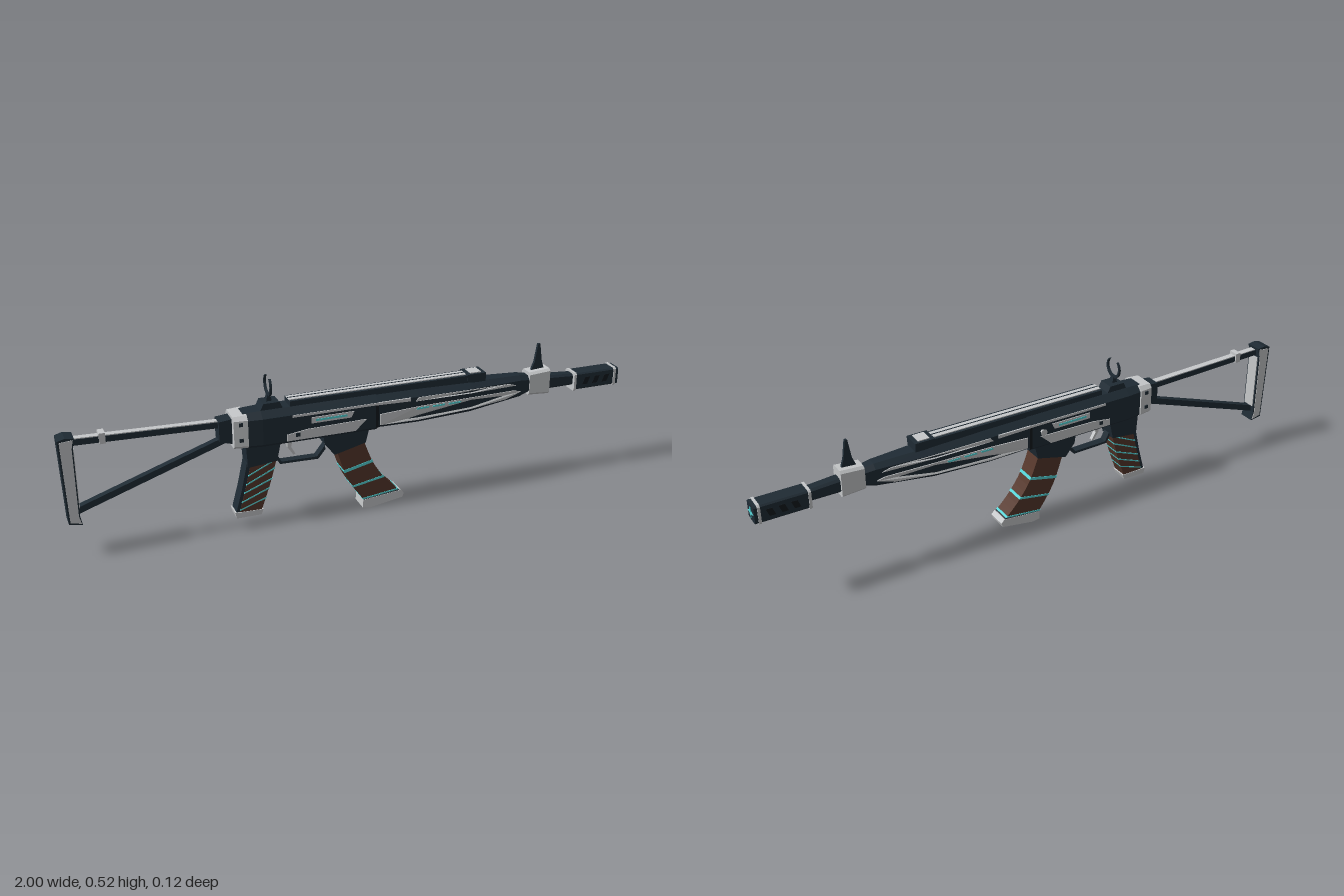
import * as THREE from 'three';

const mat = (name, color) => {
  const m = new THREE.MeshStandardMaterial({ color });
  m.name = name;
  return m;
};

export function createModel() {
  const dark = mat('dark steel', 0x1f2b34);
  const black = mat('recess black', 0x11181d);
  const light = mat('light alloy', 0xc6c8ca);
  const brown = mat('brown grip', 0x55372b);
  const cyan = mat('cyan glow', 0x55d5d8);

  const model = new THREE.Group();
  model.name = 'rifle';
  const body = new THREE.Group();
  body.name = 'rifleBody';
  body.position.z = 0.005;
  model.add(body);

  const add = (name, geo, m) => {
    const mesh = new THREE.Mesh(geo, m);
    mesh.name = name;
    body.add(mesh);
    return mesh;
  };
  const box = (name, m, x0, x1, y0, y1, hz, z = 0) => {
    const g = new THREE.BoxGeometry(x1 - x0, y1 - y0, hz * 2);
    g.translate((x0 + x1) / 2, (y0 + y1) / 2, z);
    return add(name, g, m);
  };
  // outline in x/y, extruded symmetrically in z
  const slab = (name, m, pts, hz) => {
    const s = new THREE.Shape(pts.map(p => new THREE.Vector2(p[0], p[1])));
    const g = new THREE.ExtrudeGeometry(s, { depth: hz * 2, bevelEnabled: false });
    g.translate(0, 0, -hz);
    return add(name, g, m);
  };
  // matching thin plates on both sides, following the half width rule zAt(x)
  const sidePlates = (name, m, pts, zAt, t = 0.006) => {
    for (const side of [1, -1]) {
      const mesh = slab(name, m, pts, t / 2);
      const p = mesh.geometry.attributes.position;
      for (let i = 0; i < p.count; i++) p.setZ(i, p.getZ(i) + side * zAt(p.getX(i)));
      mesh.geometry.computeVertexNormals();
    }
  };
  // chamfered sections along x: [x, bottom, top, halfWidth, topChamfer, bottomChamfer]
  const loft = (name, m, sections) => {
    const rings = sections.map(([x, b, t, w, c, d]) =>
      [[w - d, b], [w, b + d], [w, t - c], [w - c, t], [c - w, t], [-w, t - c], [-w, b + d], [d - w, b]]
        .map(([z, y]) => new THREE.Vector3(x, y, z)));
    const v = [];
    const tri = (...ps) => ps.forEach(p => v.push(p.x, p.y, p.z));
    for (let k = 0; k < rings.length - 1; k++) {
      const a = rings[k], b = rings[k + 1];
      for (let i = 0; i < 8; i++) {
        const j = (i + 1) % 8;
        tri(a[i], b[i], b[j]);
        tri(a[i], b[j], a[j]);
      }
    }
    const first = rings[0], last = rings[rings.length - 1];
    for (let i = 1; i < 7; i++) {
      tri(first[0], first[i], first[i + 1]);
      tri(last[0], last[i + 1], last[i]);
    }
    const g = new THREE.BufferGeometry();
    g.setAttribute('position', new THREE.Float32BufferAttribute(v, 3));
    g.computeVertexNormals();
    return add(name, g, m);
  };

  // Receiver and handguard
  loft('receiver', dark, [[-0.41, 0.3, 0.418, 0.046, 0.02, 0.01], [-0.35, 0.298, 0.42, 0.051, 0.022, 0.01],
    [0.05, 0.298, 0.42, 0.051, 0.022, 0.01]]);
  loft('handguard', dark, [[0.05, 0.302, 0.42, 0.048, 0.022, 0.012], [0.2, 0.3, 0.418, 0.049, 0.022, 0.012],
    [0.4, 0.306, 0.414, 0.046, 0.02, 0.014], [0.6, 0.328, 0.407, 0.031, 0.015, 0.012],
    [0.64, 0.34, 0.4, 0.026, 0.013, 0.01]]);
  const bodySide = () => 0.051;
  const guardSide = x => (x < 0.2 ? 0.049 : x < 0.4 ? 0.049 - 0.015 * (x - 0.2) : 0.046 - 0.075 * (x - 0.4));
  sidePlates('receiverPlate', light, [[-0.27, 0.309], [-0.03, 0.309], [0.01, 0.346], [-0.2, 0.342], [-0.27, 0.332]], bodySide);
  sidePlates('ejectionFrame', light, [[-0.185, 0.36], [-0.045, 0.36], [-0.035, 0.381], [-0.185, 0.381]], bodySide);
  sidePlates('ejectionSlot', cyan, [[-0.17, 0.367], [-0.06, 0.367], [-0.06, 0.374], [-0.17, 0.374]], bodySide, 0.009);
  sidePlates('upperReceiverStrip', light, [[-0.25, 0.39], [0.03, 0.39], [0.17, 0.386], [0.17, 0.398], [-0.25, 0.398]], bodySide, 0.005);
  sidePlates('receiverSeam', black, [[0.043, 0.308], [0.053, 0.308], [0.053, 0.396], [0.043, 0.396]], bodySide, 0.003);
  sidePlates('platePin', dark, [[-0.24, 0.321], [-0.225, 0.321], [-0.225, 0.334], [-0.24, 0.334]], bodySide, 0.009);
  sidePlates('handguardPanel', light, [[0.06, 0.315], [0.2, 0.313], [0.4, 0.322], [0.54, 0.333], [0.6, 0.352],
    [0.57, 0.36], [0.4, 0.364], [0.2, 0.362], [0.06, 0.354]], guardSide);
  sidePlates('handguardStrip', light, [[0.19, 0.382], [0.4, 0.38], [0.58, 0.378], [0.55, 0.388], [0.4, 0.393], [0.2, 0.395]], guardSide);
  for (const x of [0.19, 0.25, 0.31])
    sidePlates('handguardLight', cyan, [[x, 0.352], [x + 0.045, 0.352], [x + 0.05, 0.358], [x + 0.005, 0.358]], guardSide, 0.009);

  // Top rail
  box('rail', dark, -0.25, 0.46, 0.41, 0.438, 0.028);
  box('railInlay', light, -0.25, 0.4, 0.438, 0.441, 0.018);
  box('railGroove', dark, -0.25, 0.4, 0.439, 0.442, 0.002);
  box('railClamp', dark, 0.39, 0.46, 0.42, 0.442, 0.031);
  box('railClampInlay', light, 0.405, 0.445, 0.442, 0.445, 0.022);

  // Charging knob on the right side
  const knob = new THREE.ConeGeometry(0.013, 0.025, 8).toNonIndexed();
  knob.rotateX(Math.PI / 2);
  knob.translate(0.005, 0.365, -0.054);
  add('chargingKnob', knob, light);

  // Rear sight: base, stem and open ring
  slab('rearSightBase', dark, [[-0.355, 0.41], [-0.27, 0.41], [-0.285, 0.442], [-0.34, 0.442]], 0.028);
  slab('rearSightStem', dark, [[-0.325, 0.44], [-0.305, 0.44], [-0.31, 0.464], [-0.32, 0.464]], 0.009);
  const ring = new THREE.Shape();
  ring.absarc(0, 0, 0.037, Math.PI * 0.71, Math.PI * 2.29, false);
  ring.absarc(0, 0.004, 0.031, Math.PI * 2.27, Math.PI * 0.73, true);
  const ringGeo = new THREE.ExtrudeGeometry(ring, { depth: 0.008, bevelEnabled: false, curveSegments: 28 });
  ringGeo.rotateY(Math.PI / 2);
  ringGeo.translate(-0.319, 0.495, 0);
  add('rearSightRing', ringGeo, dark);

  // Front block, front sight and barrel
  loft('frontBlock', light, [[0.635, 0.33, 0.414, 0.029, 0.008, 0.008], [0.715, 0.325, 0.42, 0.03, 0.008, 0.008]]);
  slab('frontSight', dark, [[0.652, 0.415], [0.702, 0.415], [0.692, 0.445], [0.682, 0.51], [0.674, 0.51], [0.664, 0.445]], 0.005);
  loft('barrel', dark, [[0.71, 0.34, 0.39, 0.022, 0.008, 0.008], [0.82, 0.34, 0.382, 0.02, 0.007, 0.007]]);

  // Muzzle with light rims, slots and star
  loft('muzzle', dark, [[0.82, 0.324, 0.386, 0.029, 0.005, 0.005], [0.997, 0.324, 0.386, 0.029, 0.005, 0.005]]);
  for (const x of [0.815, 0.977])
    loft('muzzleRim', light, [[x, 0.321, 0.389, 0.032, 0.006, 0.006], [x + 0.009, 0.321, 0.389, 0.032, 0.006, 0.006]]);
  for (const x of [0.85, 0.89, 0.93])
    sidePlates('muzzleSlot', black, [[x, 0.342], [x + 0.02, 0.342], [x + 0.03, 0.368], [x + 0.01, 0.368]], () => 0.029, 0.003);
  const starPts = [];
  for (let i = 0; i < 8; i++) {
    const r = i % 2 ? 0.006 : 0.021, a = i * Math.PI / 4;
    starPts.push(new THREE.Vector2(r * Math.cos(a), r * Math.sin(a)));
  }
  const star = new THREE.ExtrudeGeometry(new THREE.Shape(starPts), { depth: 0.003, bevelEnabled: false });
  star.rotateY(Math.PI / 2);
  star.translate(0.997, 0.355, 0);
  add('muzzleStar', star, cyan);

  // Folding stock
  loft('rearBlock', light, [[-0.447, 0.305, 0.415, 0.048, 0.012, 0.01], [-0.4, 0.303, 0.417, 0.053, 0.014, 0.01]]);
  for (const y of [0.33, 0.385])
    sidePlates('rearBlockPin', dark, [[-0.43, y], [-0.417, y], [-0.417, y + 0.012], [-0.43, y + 0.012]], () => 0.05, 0.008);
  slab('stockHinge', dark, [[-0.49, 0.33], [-0.44, 0.315], [-0.44, 0.405], [-0.49, 0.4]], 0.026);
  slab('stockUpperBar', dark, [[-0.95, 0.388], [-0.47, 0.374], [-0.47, 0.394], [-0.95, 0.408]], 0.013);
  slab('stockBarInlay', light, [[-0.945, 0.407], [-0.49, 0.394], [-0.49, 0.398], [-0.945, 0.411]], 0.011);
  box('stockCollar', light, -0.87, -0.85, 0.382, 0.418, 0.018);
  slab('stockLowerStrut', dark, [[-0.96, 0.148], [-0.455, 0.322], [-0.455, 0.345], [-0.96, 0.171]], 0.012);
  slab('buttPlate', dark, [[-0.99, 0.125], [-0.947, 0.118], [-0.953, 0.15], [-0.953, 0.385], [-0.947, 0.418],
    [-0.975, 0.422], [-1, 0.415]], 0.028);
  sidePlates('buttSidePlate', light, [[-0.985, 0.132], [-0.95, 0.123], [-0.957, 0.15], [-0.957, 0.385], [-0.951, 0.414],
    [-0.994, 0.41]], () => 0.027);
  box('buttInnerPlate', light, -0.955, -0.95, 0.175, 0.38, 0.022);

  // Curved body between a rear and a front edge, and bands wrapped around it
  const wrapped = (rear, front) => {
    const [R, F] = [rear, front].map(e => new THREE.SplineCurve(e.map(p => new THREE.Vector2(p[0], p[1]))));
    return (name, m, t0, t1, hz, skew = 0, grow = 0) => {
      const n = t1 - t0 > 0.3 ? 10 : 1, pts = [];
      const at = (c, t, dx) => {
        const p = c.getPoint(THREE.MathUtils.clamp(t, 0, 1));
        pts.push([p.x + dx, p.y]);
      };
      for (let i = 0; i <= n; i++) at(R, t0 + (t1 - t0) * i / n + skew, -grow);
      for (let i = n; i >= 0; i--) at(F, t0 + (t1 - t0) * i / n, grow);
      slab(name, m, pts, hz);
    };
  };

  // Magazine
  slab('magazineWell', dark, [[-0.14, 0.305], [-0.135, 0.27], [-0.1, 0.225], [0.012, 0.253], [0.025, 0.305]], 0.038);
  const mag = wrapped([[-0.09, 0.235], [-0.06, 0.145], [-0.025, 0.08], [0.01, 0.03]],
    [[0.008, 0.255], [0.042, 0.17], [0.09, 0.1], [0.143, 0.045]]);
  mag('magazine', brown, 0, 1, 0.033);
  for (const t of [0.3, 0.6, 0.92]) mag('magazineBand', cyan, t - 0.018, t + 0.018, 0.0345, 0, 0.002);
  mag('magazineCollar', dark, 0.95, 1, 0.0335, 0, 0.001);
  slab('magazineBase', light, [[0.003, 0.005], [0.03, 0.0], [0.152, 0.02], [0.157, 0.035], [0.145, 0.048], [0.005, 0.034]], 0.035);

  // Pistol grip
  slab('gripNeck', dark, [[-0.405, 0.305], [-0.4, 0.225], [-0.3, 0.235], [-0.285, 0.305]], 0.032);
  const grip = wrapped([[-0.39, 0.235], [-0.41, 0.15], [-0.435, 0.062]], [[-0.297, 0.255], [-0.325, 0.155], [-0.358, 0.062]]);
  grip('grip', brown, 0, 1, 0.028);
  for (const t of [0.1, 0.26, 0.42, 0.58, 0.74]) grip('gripBand', cyan, t - 0.013, t + 0.013, 0.0295, 0.17, 0.0015);
  slab('gripBackstrap', dark, [[-0.402, 0.24], [-0.422, 0.15], [-0.446, 0.062], [-0.43, 0.062], [-0.405, 0.15], [-0.385, 0.24]], 0.026);
  slab('gripBase', light, [[-0.445, 0.045], [-0.36, 0.045], [-0.352, 0.064], [-0.45, 0.066]], 0.03);

  // Trigger and guard
  slab('triggerGuard', dark, [[-0.3, 0.24], [-0.285, 0.212], [-0.15, 0.209], [-0.125, 0.24], [-0.125, 0.256],
    [-0.155, 0.218], [-0.28, 0.22], [-0.295, 0.25]], 0.014);
  slab('trigger', light, [[-0.255, 0.3], [-0.235, 0.3], [-0.243, 0.265], [-0.228, 0.238], [-0.236, 0.236], [-0.255, 0.265]], 0.007);
  box('lowerReceiverPlate', light, -0.28, -0.14, 0.294, 0.299, 0.03);

  return model;
}
